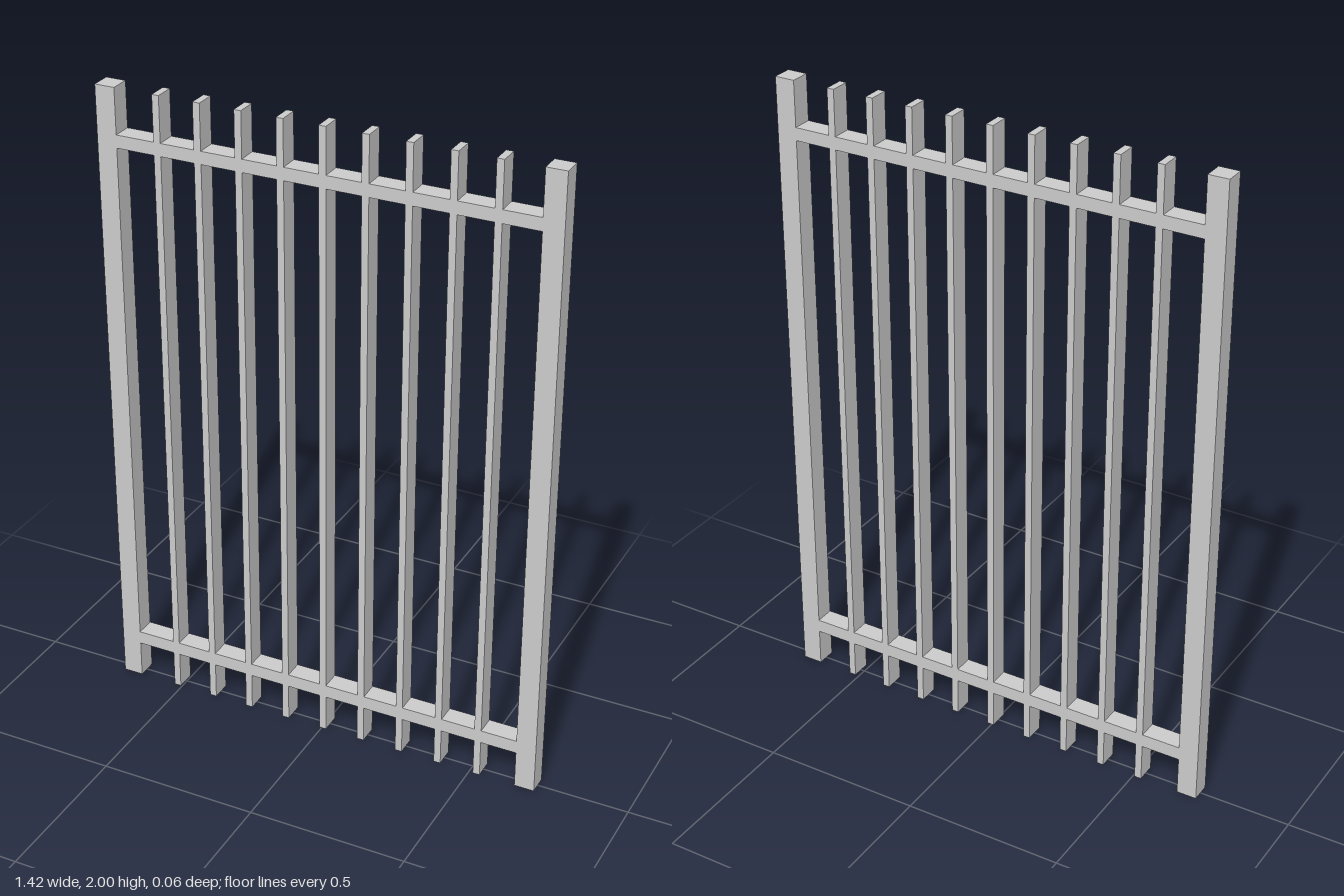
import * as THREE from 'three';

const HEIGHT = 2;
const DEPTH = 0.063;
const HALF_WIDTH = 0.712;
const POST_WIDTH = 0.063;
const BAR_WIDTH = 0.022;
const BAR_COUNT = 9;
const BAR_SPACING = 0.13;
const BAR_CENTRE = 0.004;
// Bottom and top edge of each rail
const RAILS = { lowerRail: [0.121, 0.164], upperRail: [1.818, 1.858] };

const material = new THREE.MeshStandardMaterial({ color: 0xcccccc, flatShading: true });

// Box given by its centre x, width and vertical extent
function box(name, x, width, y0, y1) {
  const mesh = new THREE.Mesh(new THREE.BoxGeometry(width, y1 - y0, DEPTH), material);
  mesh.position.set(x, (y0 + y1) / 2, 0);
  mesh.name = name;
  return mesh;
}

export function createModel() {
  const model = new THREE.Group();
  model.name = 'barredPanel';

  // Square end posts
  for (const side of [-1, 1]) {
    const name = side > 0 ? 'leftPost' : 'rightPost';
    model.add(box(name, side * (HALF_WIDTH - POST_WIDTH / 2), POST_WIDTH, 0, HEIGHT));
  }

  // Horizontal rails between the posts
  for (const [name, [y0, y1]] of Object.entries(RAILS)) {
    model.add(box(name, 0, 2 * (HALF_WIDTH - POST_WIDTH), y0, y1));
  }

  // Flat vertical bars, flush with the rails and split where they meet them
  const spans = [
    ['barFoot', 0, RAILS.lowerRail[0]],
    ['barShaft', RAILS.lowerRail[1], RAILS.upperRail[0]],
    ['barTip', RAILS.upperRail[1], HEIGHT],
  ];
  for (let i = 0; i < BAR_COUNT; i++) {
    const bar = new THREE.Group();
    bar.name = `bar${i + 1}`;
    bar.position.x = BAR_CENTRE + (i - (BAR_COUNT - 1) / 2) * BAR_SPACING;
    for (const [name, y0, y1] of spans) bar.add(box(name, 0, BAR_WIDTH, y0, y1));
    model.add(bar);
  }

  return model;
}
